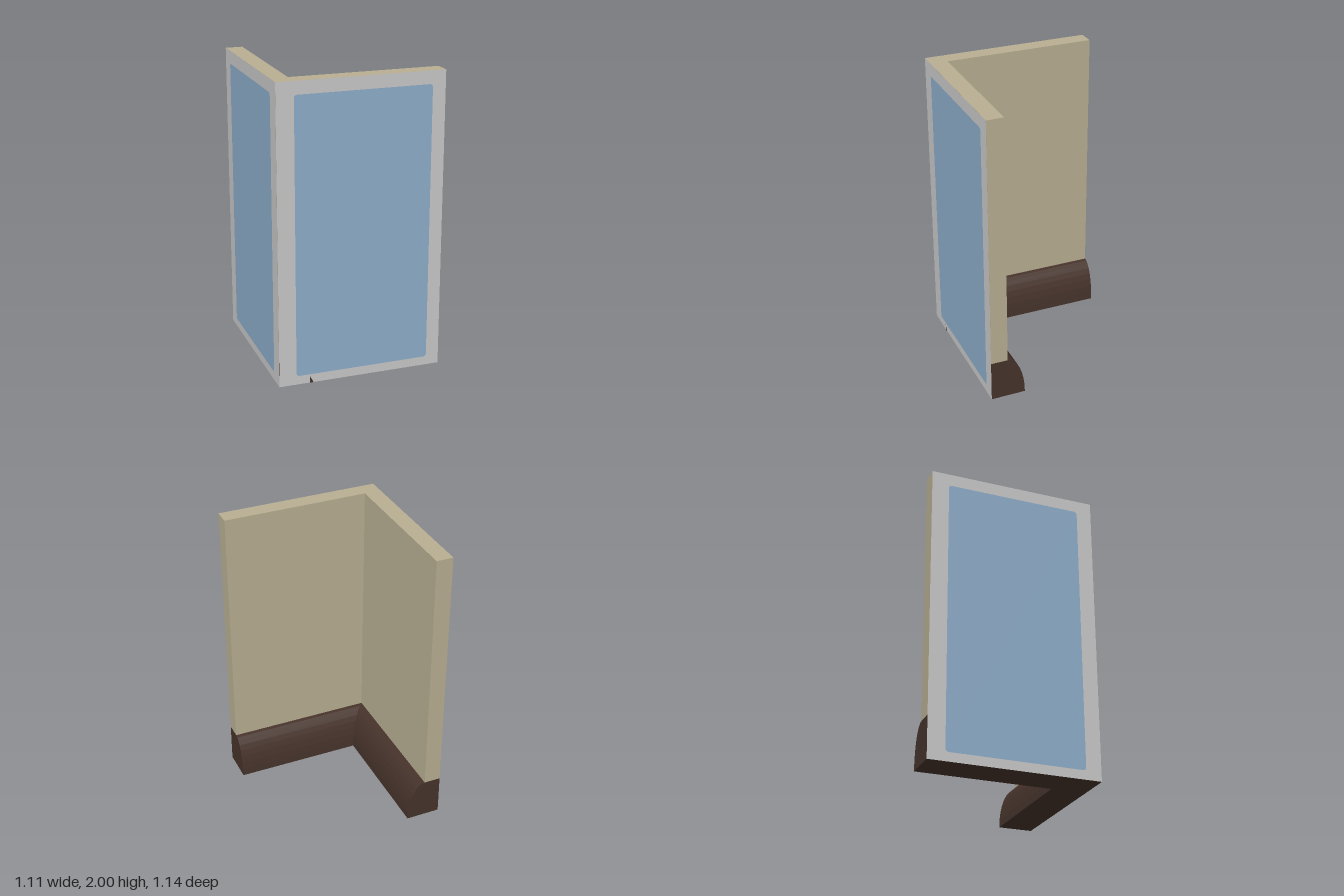
import * as THREE from 'three';

const X = 0.555, Z = 0.57;          // half extents
const IX = -0.44, IZ = 0.455;       // inner faces of the two walls
const H = 2, BASE = 0.28, SKIRT = 0.12;

function material(name, color) {
  const m = new THREE.MeshStandardMaterial({ color });
  m.name = name;
  return m;
}

function mesh(name, geometry, mat, parent) {
  const m = new THREE.Mesh(geometry, mat);
  m.name = name;
  parent.add(m);
  return m;
}

// L-shaped block between two heights
function cornerBlock(y0, y1) {
  const pts = [[-X, Z], [X, Z], [X, IZ], [IX, IZ], [IX, -Z], [-X, -Z]];
  const shape = new THREE.Shape(pts.map(([x, z]) => new THREE.Vector2(x, -z)));
  return new THREE.ExtrudeGeometry(shape, { depth: y1 - y0, bevelEnabled: false })
    .rotateX(-Math.PI / 2).translate(0, y0, 0);
}

// Quarter-round skirting swept along both inner faces with a mitred corner
function skirtingGeometry() {
  const steps = 8, profile = [];
  for (let i = 0; i <= steps; i++) {
    const t = (i / steps) * Math.PI / 2;
    profile.push([SKIRT * Math.sin(t), BASE * Math.cos(t)]);
  }
  profile.push([0, 0]);
  const stations = [
    ([d, y]) => [X, y, IZ - d],
    ([d, y]) => [IX + d, y, IZ - d],
    ([d, y]) => [IX + d, y, -Z],
  ];
  const pos = [];
  const tri = (a, b, c) => pos.push(...a, ...b, ...c);
  for (let i = 0; i < profile.length - 1; i++) {
    const p = profile[i], q = profile[i + 1];
    for (let s = 0; s < 2; s++) {
      const A = stations[s], B = stations[s + 1];
      tri(A(p), A(q), B(p));
      tri(A(q), B(q), B(p));
    }
    // end caps
    if (i < steps) {
      tri(stations[0]([0, 0]), stations[0](q), stations[0](p));
      tri(stations[2]([0, 0]), stations[2](p), stations[2](q));
    }
  }
  const g = new THREE.BufferGeometry();
  g.setAttribute('position', new THREE.Float32BufferAttribute(pos, 3));
  g.computeVertexNormals();
  return g;
}

// Flat rounded rectangle facing +z
function roundedPanel(x0, x1, y0, y1, r) {
  const s = new THREE.Shape();
  s.moveTo(x0 + r, y0);
  s.lineTo(x1 - r, y0).quadraticCurveTo(x1, y0, x1, y0 + r);
  s.lineTo(x1, y1 - r).quadraticCurveTo(x1, y1, x1 - r, y1);
  s.lineTo(x0 + r, y1).quadraticCurveTo(x0, y1, x0, y1 - r);
  s.lineTo(x0, y0 + r).quadraticCurveTo(x0, y0, x0 + r, y0);
  return new THREE.ShapeGeometry(s, 5);
}

export function createModel() {
  const beige = material('beige plaster', 0xb9af92);
  const brown = material('dark brown wood', 0x46332b);
  const grey = material('light grey frame', 0xc9c9c9);
  const blue = material('blue glass', 0x8eaecb);

  const model = new THREE.Group();
  model.name = 'cornerWall';

  mesh('upperWalls', cornerBlock(BASE, H), beige, model);
  mesh('wallBase', cornerBlock(0, BASE), brown, model);
  mesh('skirting', skirtingGeometry(), brown, model);

  // Outer faces: grey surround with a blue panel
  const front = new THREE.Group();
  front.name = 'frontFace';
  front.position.z = Z + 0.001;
  mesh('frontFrame', new THREE.PlaneGeometry(2 * X, H).translate(0, H / 2, 0), grey, front);
  mesh('frontWindow', roundedPanel(-0.44, 0.467, 0.06, 1.915, 0.022), blue, front).position.z = 0.002;

  // Small dark chip at the foot of the front face
  const chip = new THREE.Shape([[-0.348, 0], [-0.324, 0], [-0.348, 0.045]]
    .map(([x, y]) => new THREE.Vector2(x, y)));
  mesh('frontChip', new THREE.ShapeGeometry(chip), brown, front).position.z = 0.002;

  const side = new THREE.Group();
  side.name = 'sideFace';
  side.position.x = -X - 0.001;
  side.rotation.y = -Math.PI / 2;
  mesh('sideFrame', new THREE.PlaneGeometry(2 * Z, H).translate(0, H / 2, 0), grey, side);
  mesh('sideWindow', roundedPanel(-0.455, 0.465, 0.06, 1.915, 0.022), blue, side).position.z = 0.002;

  model.add(front, side);
  return model;
}
